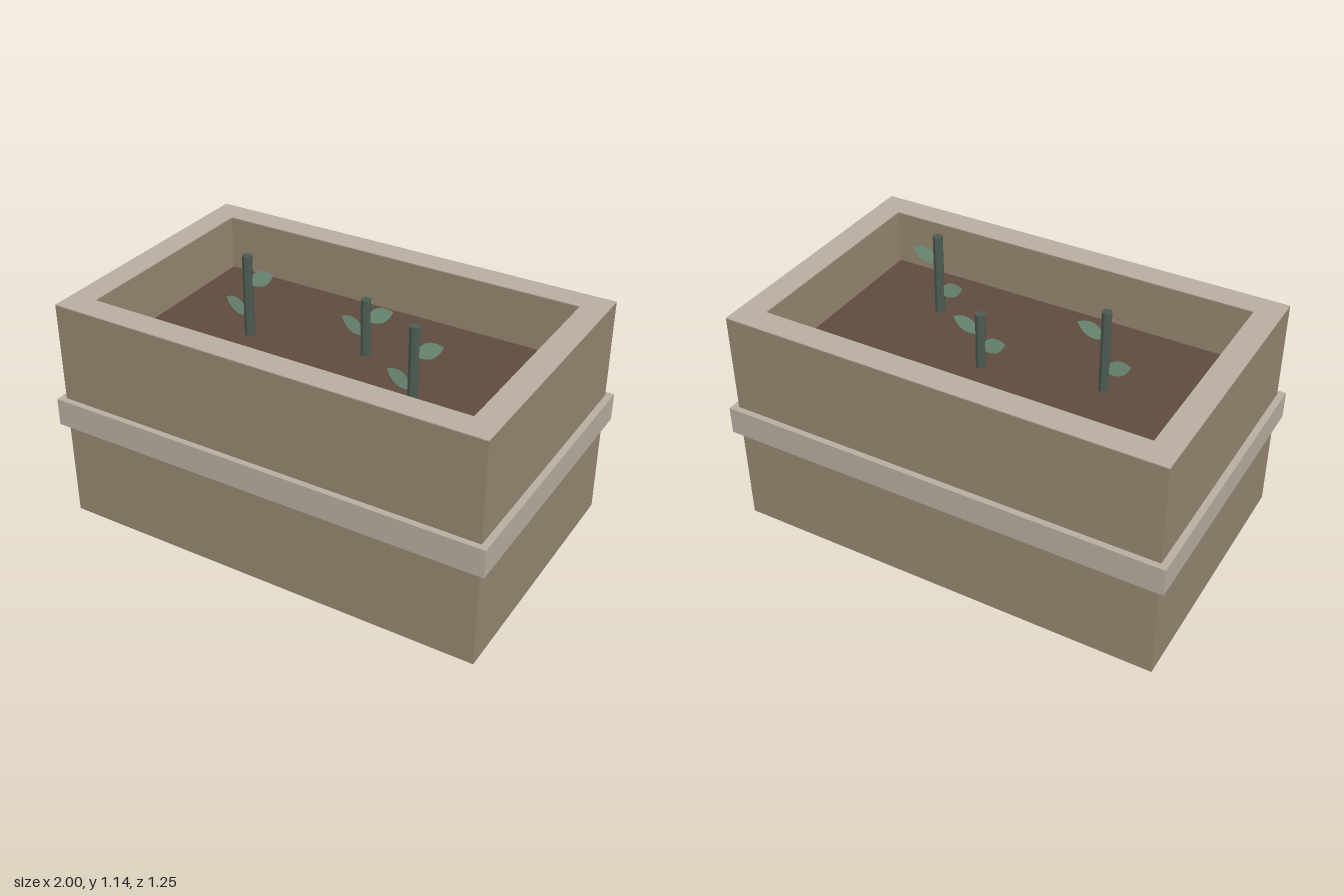
import * as THREE from 'three';

const paint = (color, extra = {}) => new THREE.MeshStandardMaterial({ color, ...extra });

function rect(path, hw, hd) {
  path.moveTo(-hw, -hd);
  path.lineTo(hw, -hd);
  path.lineTo(hw, hd);
  path.lineTo(-hw, hd);
  path.closePath();
  return path;
}

// Rectangular ring standing between heights y0 and y1
function frame(name, outer, inner, y0, y1, material) {
  const shape = rect(new THREE.Shape(), ...outer);
  shape.holes.push(rect(new THREE.Path(), ...inner));
  const geo = new THREE.ExtrudeGeometry(shape, { depth: y1 - y0, bevelEnabled: false });
  geo.rotateX(-Math.PI / 2);
  geo.translate(0, y0, 0);
  const mesh = new THREE.Mesh(geo, material);
  mesh.name = name;
  return mesh;
}

function slab(name, [hw, hd], y0, y1, material) {
  const mesh = new THREE.Mesh(new THREE.BoxGeometry(hw * 2, y1 - y0, hd * 2), material);
  mesh.position.y = (y0 + y1) / 2;
  mesh.name = name;
  return mesh;
}

export function createModel() {
  const model = new THREE.Group();
  model.name = 'planter';
  const wood = paint(0x968670);
  const trim = paint(0xb8ada0);
  const soil = paint(0x5d4b3d);
  const stemPaint = paint(0x4c5b52, { flatShading: true });
  const leafPaint = paint(0x7a9a84, { side: THREE.DoubleSide });

  // Box, rim and the band around its middle
  const outer = [0.97, 0.6], inner = [0.857, 0.485], soilY = 0.77;
  model.add(
    frame('walls', outer, inner, 0, 1.016, wood),
    frame('rim', outer, inner, 1.016, 1.02, trim),
    frame('band', [1, 0.627], outer, 0.45, 0.575, trim),
    slab('base', inner, 0, 0.1, wood),
    slab('soil', inner, 0.1, soilY, soil),
  );

  // Leaf growing outwards along +x and curving up to its tip
  const outline = new THREE.Shape();
  outline.moveTo(0, 0);
  outline.quadraticCurveTo(0.035, 0.1, 0.118, 0.06);
  outline.quadraticCurveTo(0.085, -0.03, 0, 0);
  const leafGeo = new THREE.ShapeGeometry(outline, 6);

  // Sprouts: x, z, stem height, right and left leaf heights
  const sprouts = [
    [-0.42, 0.022, 0.37, 0.24, 0.088],
    [0.092, -0.08, 0.257, 0.16, 0.088],
    [0.465, 0.202, 0.37, 0.24, 0.088],
  ];
  for (const [x, z, h, upper, lower] of sprouts) {
    const sprout = new THREE.Group();
    sprout.name = 'sprout';
    sprout.position.set(x, soilY, z);
    const stem = new THREE.Mesh(new THREE.CylinderGeometry(0.022, 0.022, h, 8), stemPaint);
    stem.name = 'stem';
    stem.position.y = h / 2;
    sprout.add(stem);
    for (const [y, turn] of [[upper, 0.17], [lower, Math.PI - 0.03]]) {
      const leaf = new THREE.Mesh(leafGeo, leafPaint);
      leaf.name = 'leaf';
      leaf.position.y = y;
      leaf.rotation.y = turn;
      sprout.add(leaf);
    }
    model.add(sprout);
  }
  return model;
}
